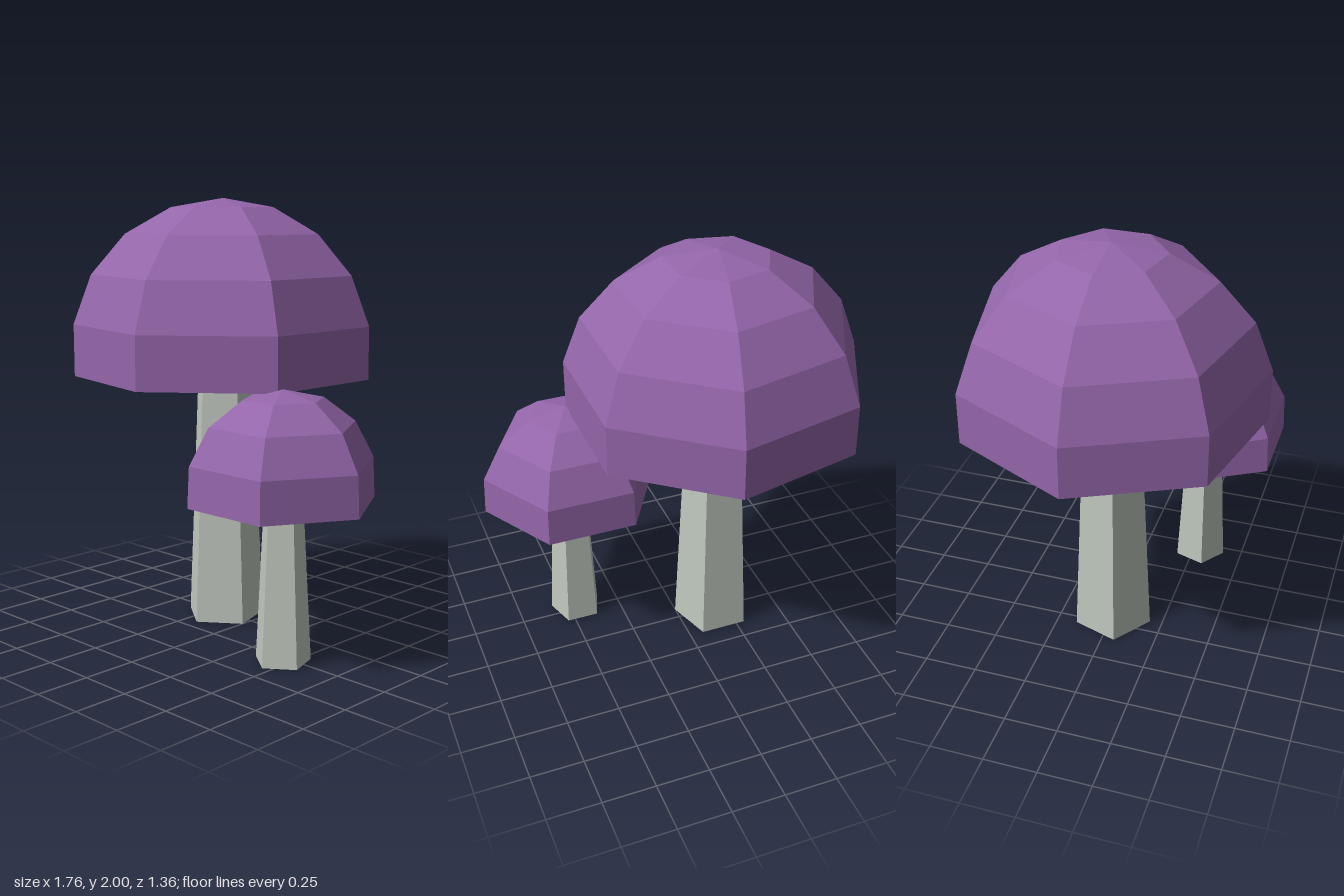
import * as THREE from 'three';

const capMaterial = new THREE.MeshStandardMaterial({
  color: 0x9466aa, flatShading: true, side: THREE.DoubleSide,
});
const stemMaterial = new THREE.MeshStandardMaterial({ color: 0xc0c8be, flatShading: true });

function createMushroom(name, { x, z, height, cap, stem }) {
  const mushroom = new THREE.Group();
  mushroom.name = name;
  mushroom.position.set(x, 0, z);

  // Tapered five-sided stem, ending inside the hollow cap
  const stemMesh = new THREE.Mesh(
    new THREE.CylinderGeometry(stem.top, stem.bottom, stem.height, 5), stemMaterial);
  stemMesh.name = 'stem';
  stemMesh.position.y = stem.height / 2;

  // Open faceted dome, reaching slightly past its equator
  const dome = new THREE.SphereGeometry(
    1, cap.sides, cap.rings, 0, Math.PI * 2, 0, THREE.MathUtils.degToRad(100));
  dome.scale(cap.radius, cap.rise, cap.radius);
  const capMesh = new THREE.Mesh(dome, capMaterial);
  capMesh.name = 'cap';
  capMesh.position.y = height - cap.rise;

  mushroom.add(stemMesh, capMesh);
  return mushroom;
}

export function createModel() {
  const model = new THREE.Group();
  model.name = 'mushrooms';
  model.add(
    createMushroom('largeMushroom', {
      x: -0.18, z: 0, height: 2,
      cap: { radius: 0.71, rise: 0.698, sides: 7, rings: 5 },
      stem: { top: 0.132, bottom: 0.19, height: 1.28 },
    }),
    createMushroom('smallMushroom', {
      x: 0.46, z: 0.28, height: 1.2,
      cap: { radius: 0.426, rise: 0.417, sides: 6, rings: 4 },
      stem: { top: 0.087, bottom: 0.128, height: 0.77 },
    }),
  );
  return model;
}
